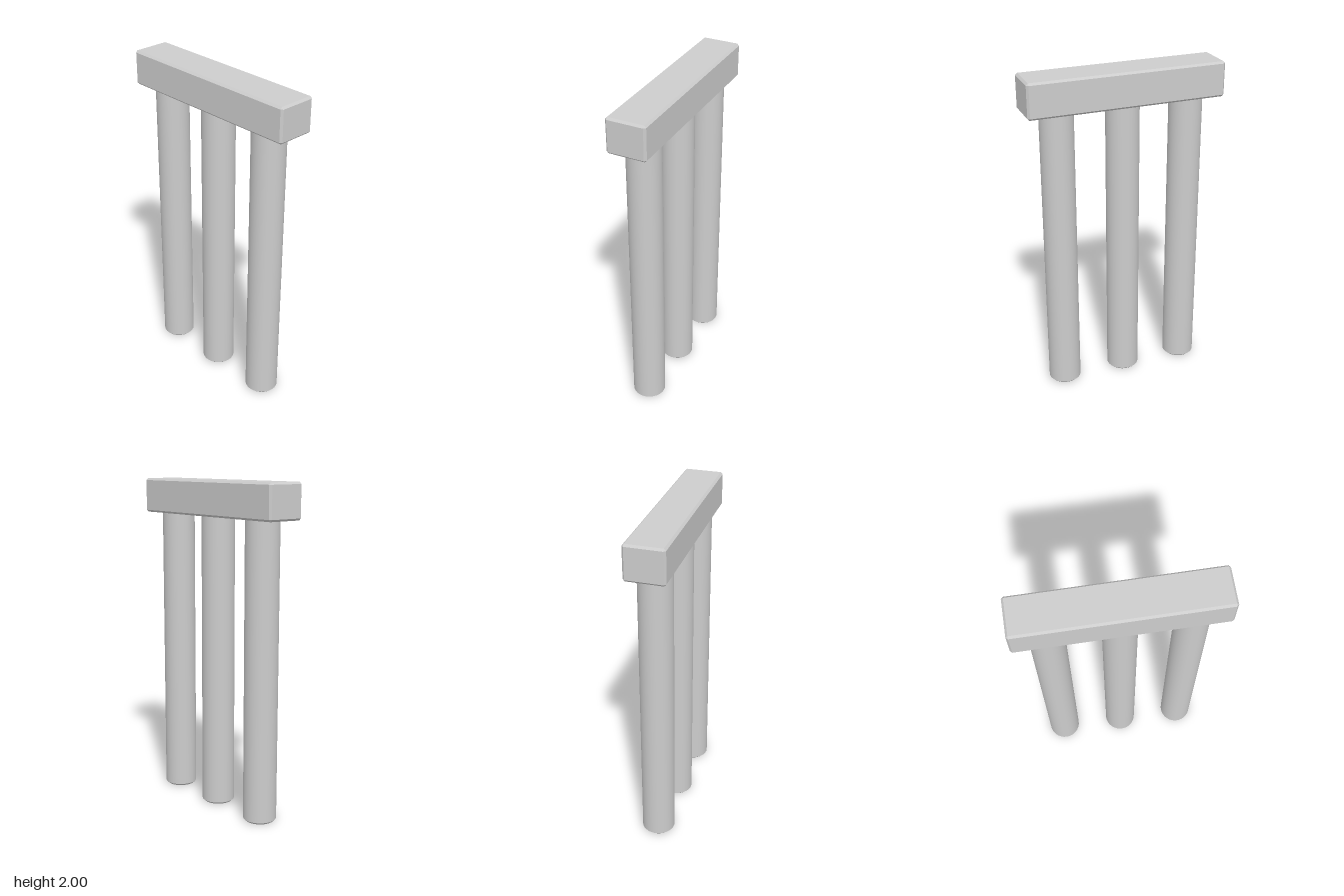
import * as THREE from 'three';
import { ConvexGeometry } from 'three/addons/geometries/ConvexGeometry.js';

const BEVEL = 0.012;

// Box with a flat chamfer on every edge
function chamferedBox(w, h, d, b) {
  const points = [];
  for (const sx of [-1, 1]) for (const sy of [-1, 1]) for (const sz of [-1, 1]) {
    const x = w / 2, y = h / 2, z = d / 2;
    points.push(
      new THREE.Vector3(sx * x, sy * (y - b), sz * (z - b)),
      new THREE.Vector3(sx * (x - b), sy * y, sz * (z - b)),
      new THREE.Vector3(sx * (x - b), sy * (y - b), sz * z)
    );
  }
  return new ConvexGeometry(points);
}

export function createModel() {
  const model = new THREE.Group();
  model.name = 'threePillarFrame';
  const stone = new THREE.MeshStandardMaterial({ color: 0xcccccc });
  stone.name = 'light grey';

  const add = (parent, name, geometry, y) => {
    const mesh = new THREE.Mesh(geometry, stone);
    mesh.name = name;
    mesh.position.y = y;
    parent.add(mesh);
  };

  // Beam across the top
  const beamBottom = 1.79, beamHeight = 2 - beamBottom;
  add(model, 'beam', chamferedBox(1.19, beamHeight, 0.236, BEVEL), beamBottom + beamHeight / 2);

  // Three round pillars with chamfered feet
  const radius = 0.1, shaftHeight = beamBottom - BEVEL;
  const shaft = new THREE.CylinderGeometry(radius, radius, shaftHeight, 32, 1, true);
  const foot = new THREE.CylinderGeometry(radius, radius - BEVEL, BEVEL, 32);
  for (const [name, x] of [['rightPillar', -0.4], ['middlePillar', 0], ['leftPillar', 0.4]]) {
    const pillar = new THREE.Group();
    pillar.name = name;
    pillar.position.x = x;
    add(pillar, 'shaft', shaft, BEVEL + shaftHeight / 2);
    add(pillar, 'foot', foot, BEVEL / 2);
    model.add(pillar);
  }
  return model;
}
